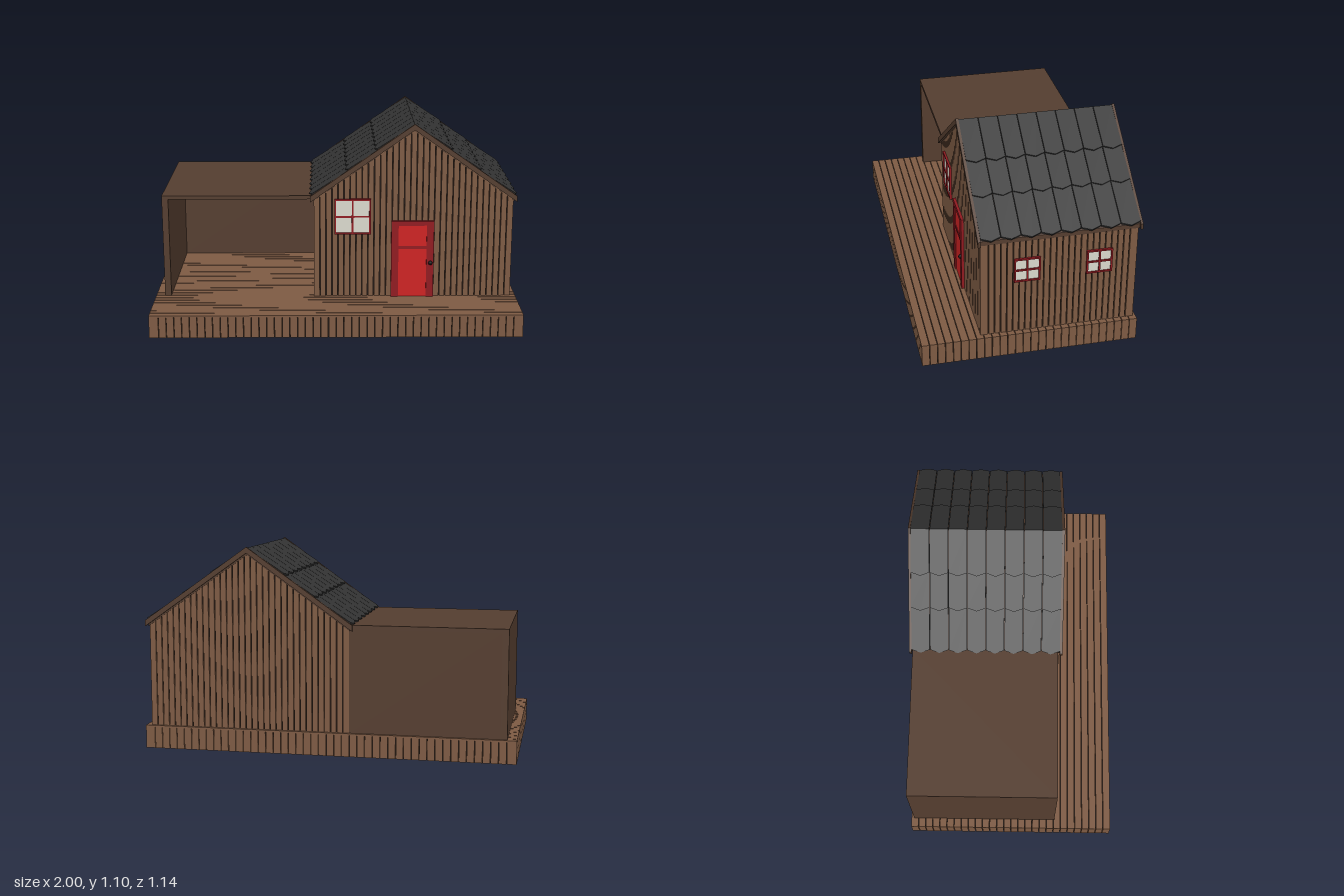
import * as THREE from 'three';

const mat = (color) => new THREE.MeshStandardMaterial({ color, flatShading: true });
const WOOD = mat(0x7d5a43), DARK = mat(0x543d2f), GROOVE = mat(0x1f1612), TILE = mat(0x343434),
  FRAME = mat(0x8f1a20), DOOR = mat(0xcc2222), PANE = mat(0xd9d8cc), KNOB = mat(0x141010);

function add(parent, name, geometry, material) {
  const mesh = new THREE.Mesh(geometry, material);
  mesh.name = name;
  parent.add(mesh);
  return mesh;
}

// Box given by its lowest and highest corners
function box(parent, name, x0, x1, y0, y1, z0, z1, material) {
  const mesh = add(parent, name, new THREE.BoxGeometry(x1 - x0, y1 - y0, z1 - z0), material);
  mesh.position.set((x0 + x1) / 2, (y0 + y1) / 2, (z0 + z1) / 2);
  return mesh;
}

// Polygon in x, y extruded from z0 to z1
function slab(parent, name, points, z0, z1, material) {
  const shape = new THREE.Shape(points.map(([x, y]) => new THREE.Vector2(x, y)));
  const geo = new THREE.ExtrudeGeometry(shape, { depth: z1 - z0, bevelEnabled: false });
  geo.translate(0, 0, z0);
  return add(parent, name, geo, material);
}

function group(parent, name) {
  const g = new THREE.Group();
  g.name = name;
  parent.add(g);
  return g;
}

// Calls make(start, end) for n boards between a and b, leaving thin gaps
function boards(a, b, n, gap, make) {
  const w = (b - a) / n;
  for (let i = 0; i < n; i++) {
    make(a + i * w + (i ? gap / 2 : 0), a + (i + 1) * w - (i < n - 1 ? gap / 2 : 0));
  }
}

const RIDGE = 0.425, X0 = -0.12, X1 = 0.97, Z0 = -0.555, Z1 = 0.26, FLOOR = 0.125, T = 0.01;
const SLOPE = 0.4 / 0.565;
const gableTop = (x) => 1.07 - Math.abs(x - RIDGE) * SLOPE;

function buildDeck(root) {
  const deck = group(root, 'deck');
  box(deck, 'deckCore', -0.99, 0.99, 0, 0.115, -0.56, 0.56, GROOVE);
  boards(-0.57, 0.57, 28, 0.003, (a, b) => {
    box(deck, 'floorBoard', -1, 1, 0.115, FLOOR, a, b, WOOD);
    for (const [x0, x1] of [[-1, -0.99], [0.99, 1]]) box(deck, 'sideBoard', x0, x1, 0, 0.115, a, b, WOOD);
  });
  boards(-0.99, 0.99, 48, 0.003, (a, b) => {
    for (const [z0, z1] of [[-0.57, -0.56], [0.56, 0.57]]) box(deck, 'skirtBoard', a, b, 0, 0.115, z0, z1, WOOD);
  });
}

function buildWalls(root) {
  const walls = group(root, 'houseWalls');
  const a = X0 + T, b = X1 - T;
  slab(walls, 'wallCore', [[a, FLOOR], [b, FLOOR], [b, gableTop(b)], [RIDGE, gableTop(RIDGE)], [a, gableTop(a)]],
    Z0 + T, Z1 - T, GROOVE);
  // Gable boards follow the roof slope
  boards(X0, X1, 33, 0.004, (l, r) => {
    const pts = [[l, FLOOR], [r, FLOOR], [r, gableTop(r)]];
    if (l < RIDGE && r > RIDGE) pts.push([RIDGE, gableTop(RIDGE)]);
    pts.push([l, gableTop(l)]);
    slab(walls, 'frontBoard', pts, Z1 - T, Z1, WOOD);
    slab(walls, 'backBoard', pts, Z0, Z0 + T, WOOD);
  });
  boards(Z0 + T, Z1 - T, 25, 0.005, (l, r) => {
    box(walls, 'rightBoard', X0, X0 + T, FLOOR, gableTop(X0), l, r, WOOD);
    box(walls, 'leftBoard', X1 - T, X1, FLOOR, gableTop(X1), l, r, WOOD);
  });
}

function buildRoof(root) {
  const roof = group(root, 'roof');
  roof.position.set(RIDGE, 0, -0.15);
  // Chevron-shaped pieces: roof deck and the two barge boards
  const chevron = (half, top, drop) => {
    const e = top - half * SLOPE;
    return [[-half, e - drop], [0, top - drop], [half, e - drop], [half, e], [0, top], [-half, e]];
  };
  slab(roof, 'roofDeck', chevron(0.55, 1.083, 0.025), -0.41, 0.41, DARK);
  slab(roof, 'frontBargeBoard', chevron(0.565, 1.1, 0.032), 0.41, 0.425, DARK);
  slab(roof, 'backBargeBoard', chevron(0.565, 1.1, 0.032), -0.423, -0.41, DARK);

  // Overlapping rows of pointed shingles on both slopes
  const rows = [[0, 0.257], [0.225, 0.453], [0.42, 0.692]];
  for (const turn of [0, Math.PI]) {
    const side = group(roof, 'roofSlope');
    side.rotation.y = turn;
    const slope = group(side, 'shingles');
    slope.position.y = 1.095;
    slope.rotation.z = -Math.atan(SLOPE);
    for (const [s, e] of rows) {
      const len = e - s;
      boards(-0.41, 0.41, 8, 0.003, (l, r) => {
        const pts = [[0, l], [len - 0.018, l], [len, (l + r) / 2], [len - 0.018, r], [0, r]];
        const tile = slab(slope, 'shingle', pts, 0, 0.014, TILE);
        tile.geometry.rotateX(Math.PI / 2);
        tile.position.set(s, 0, 0);
        tile.rotation.z = 0.04;
      });
    }
  }
}

// Four-pane window facing +z, centred on its own origin
function buildWindow(root, name, size, x, y, z, turn) {
  const win = group(root, name);
  win.position.set(x, y, z);
  win.rotation.y = turn;
  const h = size / 2, f = 0.009;
  box(win, 'pane', -h + f, h - f, -h + f, h - f, 0, 0.005, PANE);
  for (const c of [-h + f / 2, 0, h - f / 2]) {
    box(win, 'uprightBar', c - f / 2, c + f / 2, -h, h, 0, 0.012, FRAME);
    box(win, 'crossBar', -h, h, c - f / 2, c + f / 2, 0, 0.0115, FRAME);
  }
}

function buildDoor(root) {
  const door = group(root, 'door');
  box(door, 'doorFrameLeft', 0.5, 0.54, FLOOR, 0.56, Z1, 0.275, FRAME);
  box(door, 'doorFrameRight', 0.305, 0.345, FLOOR, 0.56, Z1, 0.275, FRAME);
  box(door, 'doorFrameTop', 0.345, 0.5, 0.535, 0.56, Z1, 0.275, FRAME);
  box(door, 'doorRail', 0.345, 0.5, 0.402, 0.417, Z1, 0.272, FRAME);
  box(door, 'doorLeaf', 0.345, 0.5, FLOOR, 0.535, Z1, 0.268, DOOR);
  add(door, 'doorKnob', new THREE.SphereGeometry(0.012, 12, 8), KNOB).position.set(0.522, 0.322, 0.277);
}

function buildCarport(root) {
  const port = group(root, 'carport');
  box(port, 'carportRoof', -0.95, X0, 0.68, 0.7, Z0, 0.25, DARK);
  box(port, 'carportSideWall', -0.95, -0.915, FLOOR, 0.68, Z0, 0.25, DARK);
  box(port, 'carportBackWall', -0.915, X0, FLOOR, 0.68, Z0, Z0 + 0.025, DARK);
}

export function createModel() {
  const root = new THREE.Group();
  root.name = 'cabin';
  buildDeck(root);
  buildWalls(root);
  buildRoof(root);
  buildCarport(root);
  buildDoor(root);
  buildWindow(root, 'frontWindow', 0.2, 0.092, 0.585, Z1, 0);
  buildWindow(root, 'sideWindowFront', 0.136, X1, 0.5, 0.02, Math.PI / 2);
  buildWindow(root, 'sideWindowBack', 0.136, X1, 0.5, -0.356, Math.PI / 2);
  return root;
}
